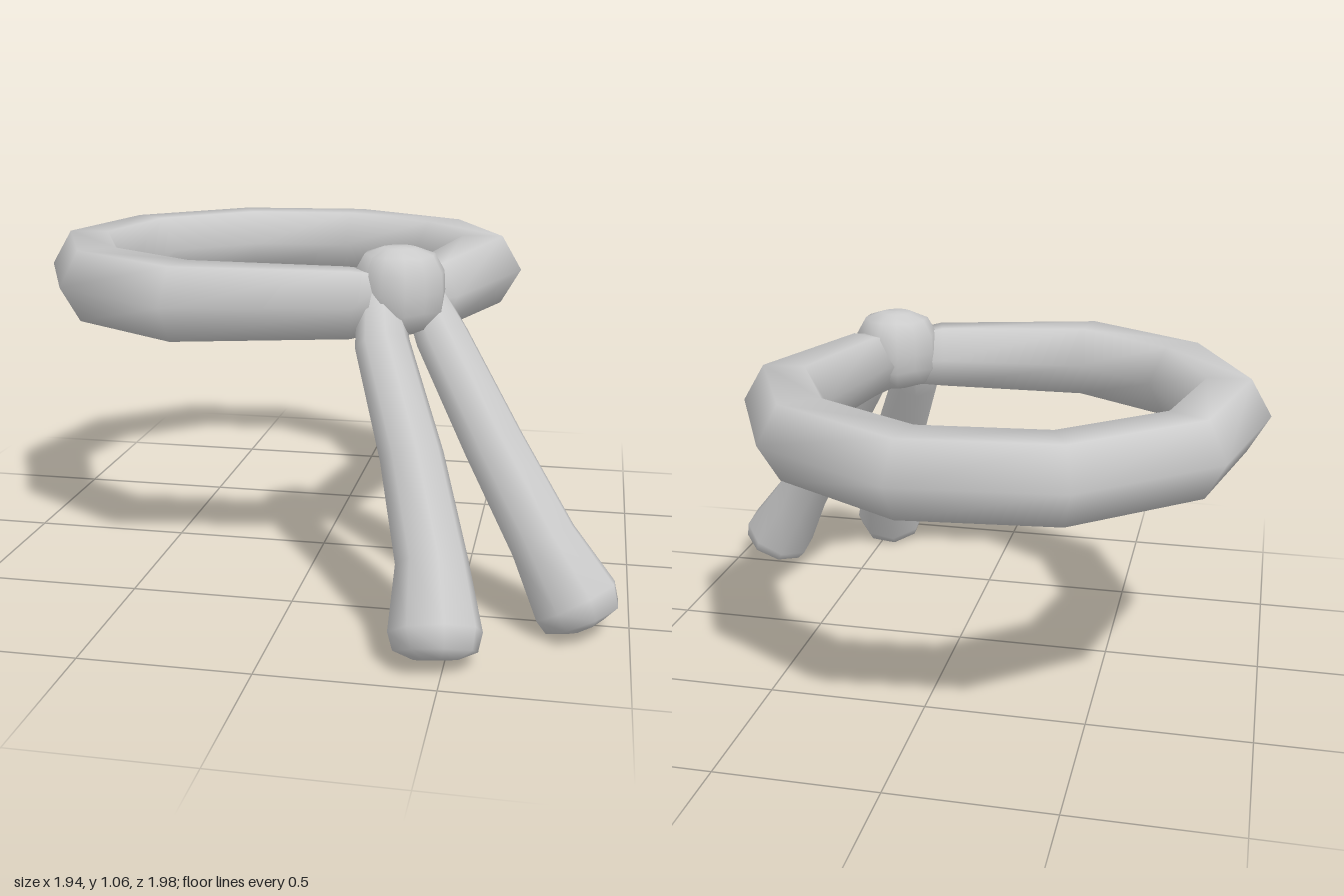
import * as THREE from 'three';

const V = (x, y, z) => new THREE.Vector3(x, y, z);
const material = new THREE.MeshStandardMaterial({ color: 0xcccccc });

// Skins a list of cross-sections (counter-clockwise around the path) and closes both ends
function loft(name, sections) {
  const n = sections[0].length, pos = [], idx = [];
  sections.forEach(s => s.forEach(p => pos.push(p.x, p.y, p.z)));
  for (let i = 0; i < sections.length - 1; i++) {
    for (let j = 0; j < n; j++) {
      const a = i * n + j, b = i * n + (j + 1) % n;
      idx.push(a, b, a + n, b, b + n, a + n);
    }
  }
  const last = (sections.length - 1) * n;
  for (let j = 1; j < n - 1; j++) {
    idx.push(0, j + 1, j);
    idx.push(last, last + j, last + j + 1);
  }
  const geometry = new THREE.BufferGeometry();
  geometry.setAttribute('position', new THREE.Float32BufferAttribute(pos, 3));
  geometry.setIndex(idx);
  geometry.computeVertexNormals();
  const mesh = new THREE.Mesh(geometry, material);
  mesh.name = name;
  return mesh;
}

// Six-sided loop: outer x, outer z, inner x, inner z, half height
function band() {
  const stations = [
    [0.30, 0.36, 0.22, 0.22, 0.08],
    [0.17, 0.45, 0.12, 0.27, 0.10],
    [-0.38, 0.555, -0.33, 0.30, 0.112],
    [-0.78, 0.30, -0.59, 0.13, 0.112],
    [-0.98, -0.15, -0.72, -0.175, 0.112],
    [-0.87, -0.63, -0.65, -0.50, 0.112],
    [-0.50, -0.95, -0.40, -0.715, 0.112],
    [-0.02, -1.0, -0.07, -0.745, 0.112],
    [0.41, -0.75, 0.21, -0.58, 0.112],
    [0.61, -0.32, 0.35, -0.30, 0.112],
    [0.45, 0.21, 0.28, 0.12, 0.10],
    [0.36, 0.31, 0.22, 0.22, 0.08],
  ];
  return loft('headband', stations.map(([ox, oz, ix, iz, h]) => {
    const section = [];
    for (let j = 0; j < 6; j++) {
      const a = j * Math.PI / 3, t = (1 + Math.cos(a)) / 2;
      section.push(V(ix + (ox - ix) * t, 0.91 + h * Math.sin(a) / Math.sin(Math.PI / 3), iz + (oz - iz) * t));
    }
    return section;
  }));
}

// Hanging end: stations of x, y, z, radius
function tail(name, stations) {
  const centres = stations.map(s => V(s[0], s[1], s[2]));
  const side = V(1, 0, -1).normalize();
  return loft(name, stations.map((s, i) => {
    const t = centres[Math.min(i + 1, centres.length - 1)].clone()
      .sub(centres[Math.max(i - 1, 0)]).normalize();
    const u = side.clone().addScaledVector(t, -side.dot(t)).normalize();
    const v = t.clone().cross(u);
    const section = [];
    for (let j = 0; j < 8; j++) {
      const a = (j + 0.5) * Math.PI / 4;
      section.push(centres[i].clone()
        .addScaledVector(u, Math.cos(a) * s[3] * 1.04)
        .addScaledVector(v, Math.sin(a) * s[3]));
    }
    return section;
  }));
}

// Knot: a low-poly sphere pushed towards a soft box
function knot() {
  const geometry = new THREE.SphereGeometry(1, 12, 8);
  const p = geometry.attributes.position, power = 3.2;
  for (let i = 0; i < p.count; i++) {
    const d = V(p.getX(i), p.getY(i), p.getZ(i));
    const m = (Math.abs(d.x) ** power + Math.abs(d.y) ** power + Math.abs(d.z) ** power) ** (1 / power);
    d.divideScalar(m);
    p.setXYZ(i, d.x * 0.125, d.y * 0.13, d.z * 0.125);
  }
  geometry.computeVertexNormals();
  const mesh = new THREE.Mesh(geometry, material);
  mesh.name = 'knot';
  mesh.position.set(0.285, 0.94, 0.285);
  mesh.rotation.y = Math.PI / 4;
  return mesh;
}

export function createModel() {
  const group = new THREE.Group();
  group.name = 'knottedHeadband';
  group.add(band(), knot());
  group.add(tail('rightTail', [
    [0.23, 0.94, 0.33, 0.06],
    [0.255, 0.80, 0.41, 0.08],
    [0.37, 0.52, 0.59, 0.09],
    [0.45, 0.27, 0.745, 0.10],
    [0.476, 0.11, 0.855, 0.128],
    [0.48, 0.065, 0.88, 0.115],
    [0.482, 0.045, 0.89, 0.06],
  ]));
  group.add(tail('leftTail', [
    [0.34, 0.94, 0.23, 0.06],
    [0.415, 0.80, 0.28, 0.08],
    [0.59, 0.52, 0.43, 0.09],
    [0.745, 0.27, 0.52, 0.10],
    [0.845, 0.11, 0.566, 0.128],
    [0.865, 0.065, 0.575, 0.115],
    [0.875, 0.045, 0.578, 0.06],
  ]));
  return group;
}
